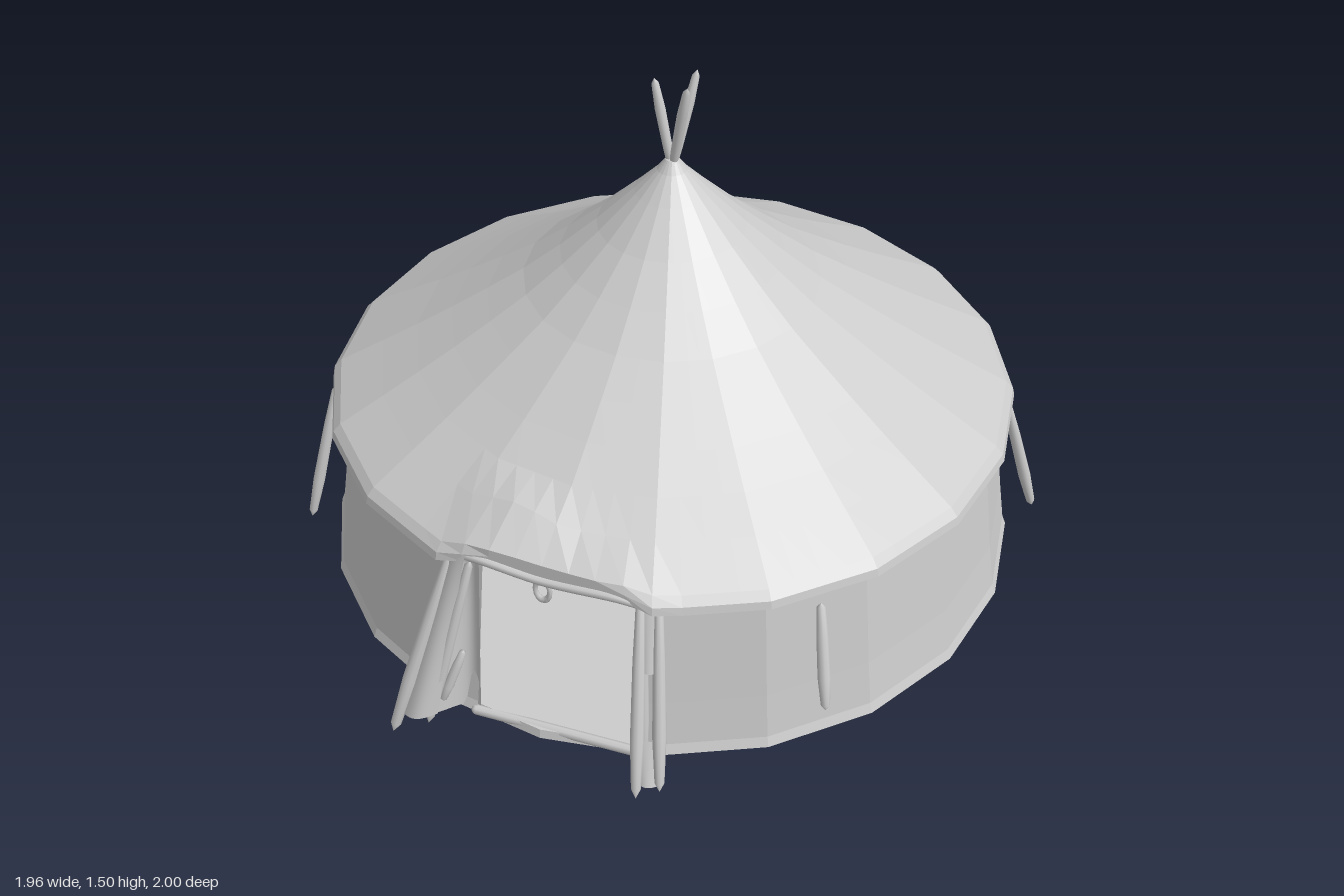
import * as THREE from 'three';
import { ParametricGeometry } from 'three/addons/geometries/ParametricGeometry.js';

const SIDES = 20, STEP = (Math.PI * 2) / SIDES, CZ = -0.04;
const V = (x, y, z) => new THREE.Vector3(x, y, z);

// Point on a 20-sided ring; angle 0 faces +z
function ring(target, r, a, y) {
  const k = Math.floor(a / STEP + 1e-6) * STEP + STEP / 2;
  const d = (r * Math.cos(STEP / 2)) / Math.cos(a - k);
  return target.set(d * Math.sin(a), y, d * Math.cos(a) + CZ);
}

export function createModel() {
  const tent = new THREE.Group();
  tent.name = 'tent';
  const canvas = new THREE.MeshStandardMaterial({ color: 0xcccccc, flatShading: true, side: THREE.DoubleSide });
  const smooth = new THREE.MeshStandardMaterial({ color: 0xcccccc, side: THREE.DoubleSide });

  function add(name, geometry, material = canvas) {
    const mesh = new THREE.Mesh(geometry, material);
    mesh.name = name;
    tent.add(mesh);
    return mesh;
  }

  // Tapered round stick between two points
  function stick(name, from, to, r) {
    const len = from.distanceTo(to);
    const profile = [[0, 0], [0.65, 0.03], [0.9, 0.3], [1, 0.7], [0.7, 0.95], [0, 1]]
      .map(([w, t]) => new THREE.Vector2(w * r, t * len));
    const mesh = add(name, new THREE.LatheGeometry(profile, 10), smooth);
    mesh.position.copy(from);
    mesh.quaternion.setFromUnitVectors(V(0, 1, 0), to.clone().sub(from).normalize());
  }

  // Ruled cloth between two edges, with soft folds pushed along z
  function cloth(name, a0, a1, b0, b1, folds, depth) {
    add(name, new ParametricGeometry((u, v, t) => {
      const a = a0.clone().lerp(a1, v), b = b0.clone().lerp(b1, v);
      t.copy(a).lerp(b, u);
      t.z += Math.sin(u * Math.PI * folds) * depth * (0.3 + 0.7 * v);
    }, 14, 10), smooth);
  }

  // Roof: faceted concave cone with a turned eave, lifted over the door
  const roof = [[0.885, 0.535], [0.945, 0.528], [0.94, 0.55], [0.92, 0.572], [0.8, 0.643], [0.7, 0.703],
    [0.6, 0.766], [0.5, 0.832], [0.4, 0.9], [0.3, 0.98], [0.2, 1.068], [0.1, 1.167], [0.04, 1.23], [0.018, 1.26], [0, 1.265]];
  add('roof', new ParametricGeometry((u, v, t) => {
    const [r, y] = roof[Math.round(v * (roof.length - 1))];
    ring(t, r, u * Math.PI * 2, y);
    if (t.z > 0.4) {
      const door = THREE.MathUtils.smoothstep(0.3 - Math.abs(t.x - 0.02), 0, 0.1);
      const edge = THREE.MathUtils.smoothstep(t.z, 0.72, 0.84);
      t.y += 0.025 * door * edge;
      t.z = THREE.MathUtils.lerp(t.z, Math.min(t.z, 0.855), door);
      t.y += 0.04 * Math.exp(-(((t.x + 0.13) / 0.11) ** 2) - ((t.z - 0.77) / 0.07) ** 2);
    }
  }, 80, roof.length - 1));

  // Wall: flared panels, open at the doorway
  const angles = [0.29];
  for (let i = 1; i < SIDES; i++) angles.push(i * STEP);
  angles.push(Math.PI * 2 - 0.2);
  const wall = [[0.94, 0.052], [0.96, 0.062], [0.95, 0.09], [0.932, 0.22], [0.915, 0.37], [0.895, 0.54]];
  add('wall', new ParametricGeometry((u, v, t) => {
    const [r, y] = wall[Math.round(v * (wall.length - 1))];
    ring(t, r, angles[Math.round(u * SIDES)], y);
  }, SIDES, wall.length - 1));

  // Floor and threshold
  const floor = add('floor', new THREE.CylinderGeometry(0.945, 0.95, 0.025, SIDES));
  floor.position.set(0, 0.065, CZ);
  const sill = add('doorSill', new THREE.CapsuleGeometry(0.014, 0.46, 4, 8), smooth);
  sill.rotation.z = Math.PI / 2 + 0.03;
  sill.position.set(0.04, 0.07, 0.885);

  // Crossed pole tips above the peak
  for (const tip of [V(-0.052, 1.485, -0.045), V(0.055, 1.5, 0), V(0.045, 1.5, -0.1)])
    stick('peakPole', V(-tip.x * 0.1, 1.2, CZ + (CZ - tip.z) * 0.1), tip, 0.014);

  // Slanted pegs leaning on the wall under the eave
  const pegs = [[0.61, -0.76, 0.66, -0.86, 0.5, 0.08], [0.88, -0.34, 0.97, -0.41, 0.49, 0.09],
    [-0.59, -0.77, -0.66, -0.84, 0.5, 0.09], [-0.87, -0.33, -0.98, -0.4, 0.52, 0.1],
    [-0.86, 0.31, -0.935, 0.39, 0.53, 0.1], [0.65, 0.62, 0.7, 0.7, 0.49, 0.21]];
  for (const [x0, z0, x1, z1, y0, y1] of pegs) stick('wallPeg', V(x0, y0, z0), V(x1, y1, z1), 0.017);

  // Left-hand door flap pulled out to its pole
  cloth('doorFlap', V(-0.26, 0.56, 0.83), V(-0.33, 0.07, 0.94), V(-0.175, 0.56, 0.85), V(-0.18, 0.065, 0.88), 2, 0.02);
  cloth('doorFlapFold', V(-0.27, 0.55, 0.83), V(-0.37, 0.06, 0.96), V(-0.21, 0.565, 0.86), V(-0.27, 0.08, 0.95), 1, 0.025);
  stick('flapPole', V(-0.26, 0.54, 0.84), V(-0.39, 0, 0.98), 0.02);
  stick('flapPole', V(-0.2, 0.55, 0.85), V(-0.3, 0.035, 0.95), 0.017);
  stick('flapPeg', V(-0.22, 0.26, 0.88), V(-0.27, 0.1, 0.92), 0.014);

  // Opposite flap: two poles with a narrow band at top and bottom
  stick('doorPole', V(0.255, 0.55, 0.84), V(0.3, 0.03, 0.995), 0.018);
  stick('doorPole', V(0.3, 0.54, 0.83), V(0.355, 0.05, 0.97), 0.018);
  cloth('doorBand', V(0.255, 0.55, 0.84), V(0.27, 0.37, 0.89), V(0.3, 0.55, 0.83), V(0.32, 0.37, 0.88), 1, 0.01);
  cloth('doorBand', V(0.285, 0.18, 0.94), V(0.3, 0.06, 0.975), V(0.335, 0.18, 0.925), V(0.35, 0.06, 0.96), 1, 0.01);
  stick('doorPeg', V(0.262, 0.52, 0.84), V(0.285, 0.05, 0.9), 0.014);

  // Hem along the top of the doorway and its hanging loop
  const hem = new THREE.CatmullRomCurve3([V(-0.27, 0.53, 0.83), V(-0.2, 0.562, 0.85), V(0, 0.55, 0.855), V(0.21, 0.555, 0.85), V(0.29, 0.53, 0.83)]);
  add('doorHem', new THREE.TubeGeometry(hem, 24, 0.012, 8), smooth);
  const loop = add('doorLoop', new THREE.TorusGeometry(0.02, 0.007, 6, 14), smooth);
  loop.scale.y = 1.6;
  loop.position.set(-0.005, 0.51, 0.845);

  return tent;
}
